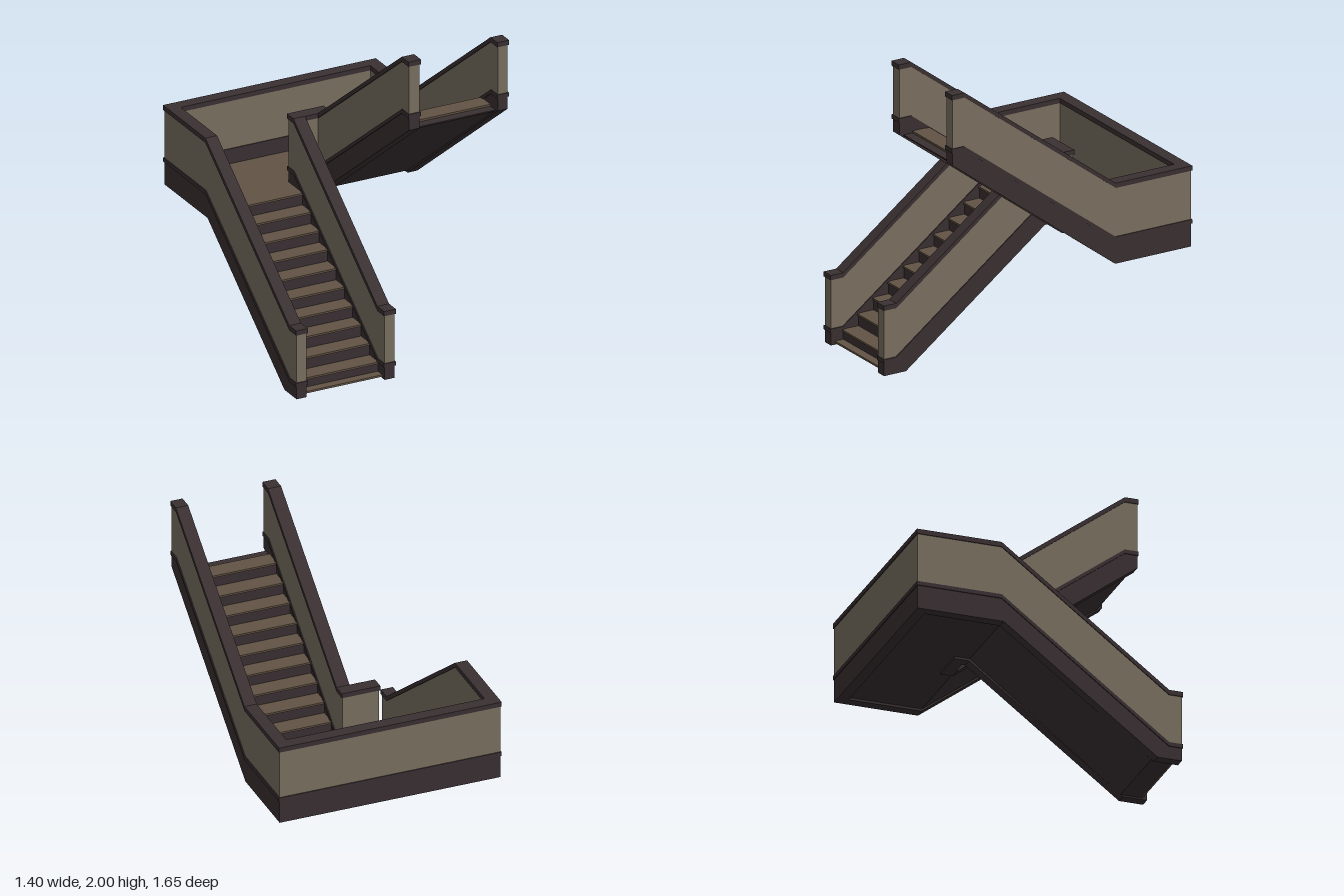
import * as THREE from 'three';

const mat = (name, color) => {
  const m = new THREE.MeshStandardMaterial({ color });
  m.name = name;
  return m;
};

export function createModel() {
  const model = new THREE.Group();
  model.name = 'staircase';
  const dark = mat('dark trim', 0x3a3032);
  const panel = mat('wall panel', 0x7b7161);
  const wood = mat('tread brown', 0x625344);

  const add = (parent, name, geo, material) => {
    const mesh = new THREE.Mesh(geo, material);
    mesh.name = name;
    parent.add(mesh);
  };
  const box = (parent, name, material, x0, x1, y0, y1, z0, z1) => {
    const g = new THREE.BoxGeometry(x1 - x0, y1 - y0, z1 - z0);
    add(parent, name, g.translate((x0 + x1) / 2, (y0 + y1) / 2, (z0 + z1) / 2), material);
  };
  // Extrude a side profile of [z, y] points from x0 to x1
  const profile = (parent, name, material, pts, x0, x1) => {
    const shape = new THREE.Shape(pts.map(p => new THREE.Vector2(p[0], p[1])));
    const g = new THREE.ExtrudeGeometry(shape, { depth: x1 - x0, bevelEnabled: false });
    add(parent, name, g.rotateY(-Math.PI / 2).translate(x1, 0, 0), material);
  };
  // Strip following a line between two heights above it
  const band = (line, lo, hi) => [
    ...line.map(([z, y]) => [z, y + lo]),
    ...line.map(([z, y]) => [z, y + hi]).reverse(),
  ];

  const OVER = 0.006, BACK = -0.82;
  const PANEL = 0.335, RAIL = 0.36, BEAD = 0.025;

  // Balustrade along one side of a flight: stringer, panel, bead and handrail
  const balustrade = (name, x0, x1, upper, end) => {
    const g = new THREE.Group();
    g.name = name;
    const y0 = upper ? 1.64 : 0.08;
    const line = (e) => [[0.82 + e, y0], [0.74, y0], [-0.3, 0.86], [end - e, 0.86]];
    const under = upper
      ? [[0.82, 1.56], [0.74, 1.5], [-0.3, 0.715], [end, 0.715]]
      : [[0.82, 0], [0.67, 0], [-0.285, 0.715], [end, 0.715]];
    profile(g, 'stringer', dark, [...under, ...line(0).reverse()], x0, x1);
    profile(g, 'panel', panel, band(line(0), 0, PANEL), x0, x1);
    profile(g, 'bead', dark, band(line(OVER), 0, BEAD), x0 - OVER, x1 + OVER);
    profile(g, 'handrail', dark, band(line(OVER), PANEL - 0.005, RAIL), x0 - OVER, x1 + OVER);
    model.add(g);
  };
  balustrade('lowerOuterBalustrade', -0.695, -0.63, false, BACK);
  balustrade('lowerInnerBalustrade', -0.115, -0.05, false, -0.375);
  balustrade('upperInnerBalustrade', 0.045, 0.115, true, -0.375);
  balustrade('upperOuterBalustrade', 0.63, 0.695, true, BACK);

  // Straight walls: landing back and the short link between the flights
  const straightWall = (name, x0, x1, z0, z1) => {
    const g = new THREE.Group();
    g.name = name;
    box(g, 'stringer', dark, x0, x1, 0.715, 0.86, z0, z1);
    box(g, 'panel', panel, x0, x1, 0.86, 1.195, z0, z1);
    for (const [n, lo, hi] of [['bead', 0, BEAD], ['handrail', PANEL - 0.005, RAIL]])
      box(g, n, dark, x0, x1, 0.86 + lo, 0.86 + hi, z0 - OVER, z1 + OVER);
    model.add(g);
  };
  straightWall('landingBackWall', -0.63, 0.63, BACK, -0.755);
  straightWall('flightLinkWall', -0.05, 0.045, -0.375, -0.305);

  // Landing slab and floor
  const RUN = 0.104, RISE = 0.078, THICK = 0.012, NOSE = 0.01, FLOOR = 0.787;
  const landing = new THREE.Group();
  landing.name = 'landing';
  box(landing, 'slab', dark, -0.63, 0.63, 0.73, FLOOR - THICK, -0.755, -0.31);
  box(landing, 'floor', wood, -0.63, 0.63, FLOOR - THICK, FLOOR, -0.755, -0.32);
  model.add(landing);

  // Lower flight: ten risers climbing to the back
  const lower = new THREE.Group();
  lower.name = 'lowerFlight';
  const lowerBody = [[-0.32, 0.73], [-0.28, 0.73], [0.655, 0.01], [0.785, 0.01], [0.785, 0.014]];
  box(lower, 'baseTread', wood, -0.63, -0.115, 0.01, 0.022, 0.73, 0.793);
  let h = 0.014;
  for (let i = 0; i < 10; i++) {
    const z = -0.2 + (9 - i) * RUN, top = FLOOR - (9 - i) * RISE;
    lowerBody.push([z, h], [z, top - THICK]);
    h = top - THICK;
    const back = i < 9 ? z - RUN : -0.32;
    box(lower, 'tread', wood, -0.63, -0.115, h, top, back, z + NOSE);
  }
  lowerBody.push([-0.32, h]);
  profile(lower, 'stepsAndSoffit', dark, lowerBody, -0.63, -0.115);
  model.add(lower);

  // Upper flight: ten risers climbing to the front
  const upper = new THREE.Group();
  upper.name = 'upperFlight';
  const upperTop = [];
  h = FLOOR - THICK;
  for (let i = 0; i < 10; i++) {
    const z = -0.31 + i * RUN, top = FLOOR + (i + 1) * RISE;
    upperTop.push([z, h], [z, top - THICK]);
    h = top - THICK;
    box(upper, 'tread', wood, 0.115, 0.63, h, top, z - NOSE, z + RUN);
  }
  upperTop.push([0.79, h]);
  const upperBody = [[-0.31, 0.73], [-0.3, 0.73], [0.74, 1.512], [0.79, 1.548], ...upperTop.reverse()];
  profile(upper, 'stepsAndSoffit', dark, upperBody, 0.115, 0.63);
  model.add(upper);

  return model;
}
